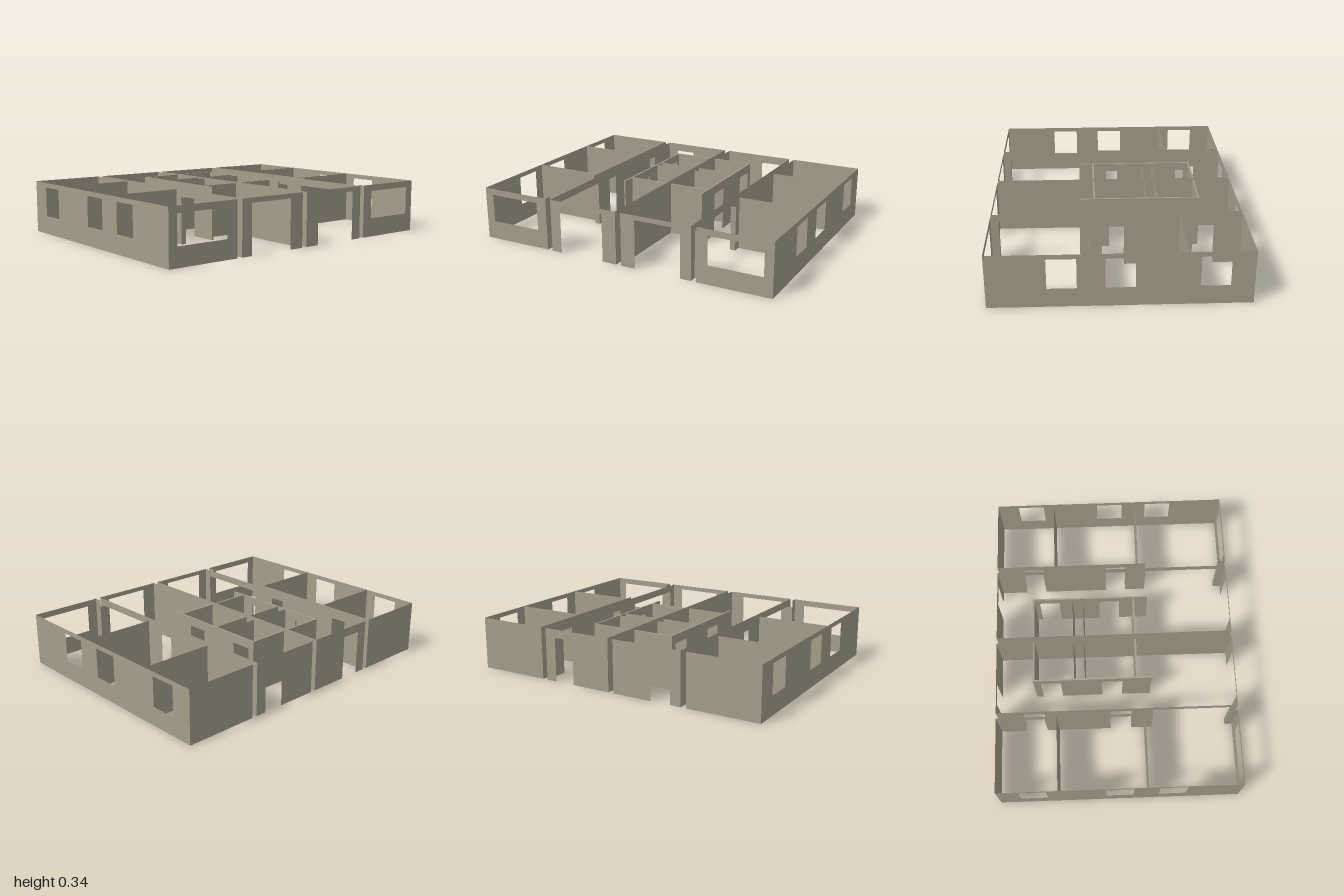
import * as THREE from 'three';

const H = 0.34;        // wall height
const DOOR = 0.285;    // door height
const Z = 0.773;       // half depth of the building

const material = new THREE.MeshStandardMaterial({ color: 0xa59d8c, side: THREE.DoubleSide });

// Wall outline from a to b; openings are [from, to, bottom, top], bottom 0 makes a doorway
function wallShape(a, b, openings, height) {
  const shape = new THREE.Shape();
  shape.moveTo(a, 0);
  openings.filter(o => o[2] === 0).sort((p, q) => p[0] - q[0]).forEach(([u0, u1, , top]) => {
    shape.lineTo(u0, 0);
    shape.lineTo(u0, top);
    shape.lineTo(u1, top);
    shape.lineTo(u1, 0);
  });
  shape.lineTo(b, 0);
  shape.lineTo(b, height);
  shape.lineTo(a, height);
  shape.closePath();
  openings.filter(o => o[2] > 0).forEach(([u0, u1, y0, y1]) => {
    const hole = new THREE.Path();
    hole.moveTo(u0, y0);
    hole.lineTo(u0, y1);
    hole.lineTo(u1, y1);
    hole.lineTo(u1, y0);
    hole.closePath();
    shape.holes.push(hole);
  });
  return shape;
}

function wallGeometry(a, b, { openings = [], thick = 0, height = H }) {
  const shape = wallShape(a, b, openings, height);
  if (!thick) return new THREE.ShapeGeometry(shape);
  return new THREE.ExtrudeGeometry(shape, { depth: thick, bevelEnabled: false }).translate(0, 0, -thick / 2);
}

export function createModel() {
  const model = new THREE.Group();
  model.name = 'floorPlan';

  for (const s of [1, -1]) {
    const half = new THREE.Group();
    half.name = s > 0 ? 'leftHalf' : 'rightHalf';
    model.add(half);

    const add = (name, geometry) => {
      const mesh = new THREE.Mesh(geometry, material);
      mesh.name = name;
      half.add(mesh);
    };
    // Wall running along z at a given x
    const along = (name, x, z0, z1, options = {}) =>
      add(name, wallGeometry(z0, z1, options).rotateY(-Math.PI / 2).translate(s * x, 0, 0));
    // Wall running along x at a given z, mirrored by swapping ends
    const across = (name, z, x0, x1, options = {}) => {
      const flip = (p, q) => (s > 0 ? [p, q] : [-q, -p]);
      const openings = (options.openings || []).map(([p, q, y0, y1]) => [...flip(p, q), y0, y1]);
      add(name, wallGeometry(...flip(x0, x1), { ...options, openings }).translate(0, 0, z));
    };

    // Outer module: side wall with three windows, front window, two partitions
    along('sideWall', 1, -Z, Z, {
      openings: [[0.25, 0.423, 0.12, 0.31], [-0.087, 0.087, 0.12, 0.31], [-0.633, -0.46, 0.12, 0.31]],
    });
    across('outerFrontWall', Z, 0.526, 1, { openings: [[0.597, 0.943, 0.12, 0.3]] });
    across('outerBackWall', -Z, 0.526, 1);
    across('frontPartition', 0.18, 0.526, 1);
    across('backPartition', -0.387, 0.526, 1);

    // Paired walls between the modules, with doors and a wide opening at the front
    const doors = [[-0.603, -0.467, 0, DOOR], [-0.043, 0.093, 0, DOOR]];
    along('outerModuleWall', 0.526, -Z, 0.23, { openings: doors });
    along('outerModuleWallEnd', 0.526, 0.724, Z);
    along('innerModuleWall', 0.491, -Z, Z, { openings: [...doors, [0.23, 0.724, 0, 0.292]] });
    for (const z of [0.23, 0.724]) across('openingJamb', z, 0.491, 0.526, { height: 0.292 });

    // Inner module: front entrance, back door and solid party wall
    across('innerFrontWall', Z, 0.018, 0.491, { openings: [[0.115, 0.419, 0, 0.31]] });
    across('innerBackWall', -Z, 0.018, 0.491, { openings: [[0.284, 0.419, 0, DOOR]] });
    along('partyWall', 0.018, -Z, Z);

    // Core rooms with thicker walls
    const thick = 0.011;
    along('coreSideWall', 0.283, -0.536, 0.23, {
      thick, openings: [[-0.495, -0.36, 0, DOOR], [-0.092, 0.043, 0, DOOR]],
    });
    across('coreBackWall', -0.53, 0.018, 0.278, { thick });
    across('coreFrontWall', 0.136, 0.018, 0.278, { thick });
    for (const z of [-0.27, -0.2]) across('corePartition', z, 0.018, 0.278);
  }
  return model;
}
